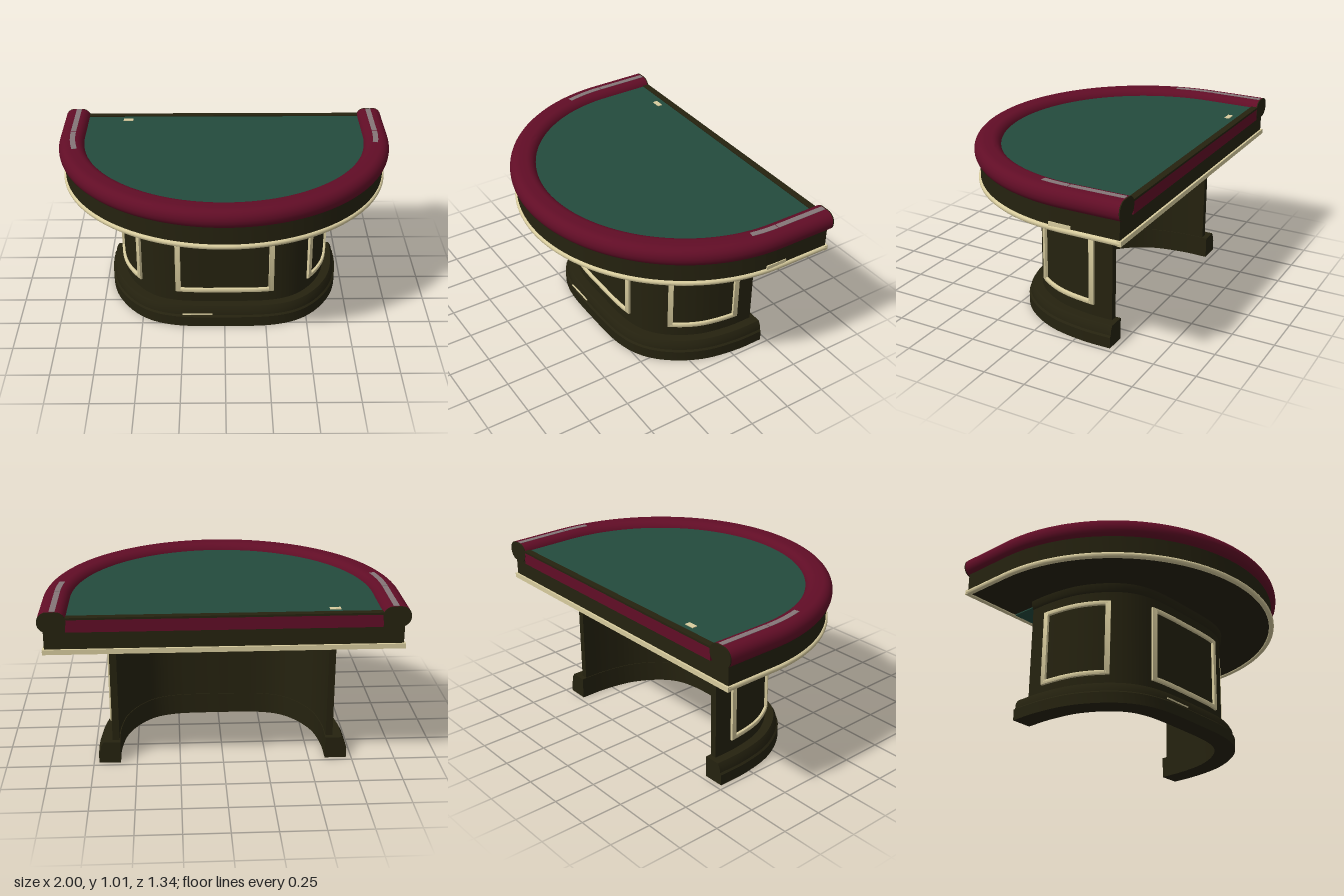
import * as THREE from 'three';
import { toCreasedNormals } from 'three/addons/utils/BufferGeometryUtils.js';

const makeMaterial = (name, color) => {
  const m = new THREE.MeshStandardMaterial({ color, side: THREE.DoubleSide });
  m.name = name;
  return m;
};

// Path point with outward normal, both in the ground plane
const station = (x, z, tx, tz) => {
  const l = Math.hypot(tx, tz);
  return { x, z, nx: tz / l, nz: -tx / l };
};

// Sweep a closed counter-clockwise profile of [outward offset, height] along a path, with end caps
function sweep(profile, path) {
  const n = profile.length, pos = [], idx = [];
  for (const s of path)
    for (const [o, y] of profile) pos.push(s.x + s.nx * o, y, s.z + s.nz * o);
  for (let i = 0; i < path.length - 1; i++)
    for (let j = 0; j < n; j++) {
      const k = (j + 1) % n;
      const a = i * n + j, b = i * n + k, c = a - j + n + k, d = a + n;
      idx.push(a, b, c, a, c, d);
    }
  const end = (path.length - 1) * n;
  const contour = profile.map(([o, y]) => new THREE.Vector2(o, y));
  for (const [a, b, c] of THREE.ShapeUtils.triangulateShape(contour, [])) {
    idx.push(c, b, a, end + a, end + b, end + c);
  }
  const g = new THREE.BufferGeometry();
  g.setAttribute('position', new THREE.Float32BufferAttribute(pos, 3));
  g.setIndex(idx);
  return toCreasedNormals(g, 0.6);
}

// Closed profile of a rectangle with rounded corners
function roundRect(o0, o1, y0, y1, r, steps = 5) {
  const out = [];
  const corners = [[o1 - r, y0 + r, -90], [o1 - r, y1 - r, 0], [o0 + r, y1 - r, 90], [o0 + r, y0 + r, 180]];
  for (const [co, cy, start] of corners)
    for (let i = 0; i <= steps; i++) {
      const a = THREE.MathUtils.degToRad(start + (90 * i) / steps);
      out.push([co + r * Math.cos(a), cy + r * Math.sin(a)]);
    }
  return out;
}

// Half-round table outline of radius 1 with straight sides running to the back
const CZ = -0.335;
function rimPath(back = -0.67, steps = 72) {
  const path = [station(1, back, 0, 1)];
  for (let i = 0; i <= steps; i++) {
    const a = (Math.PI * i) / steps;
    path.push(station(Math.cos(a), CZ + Math.sin(a), -Math.sin(a), Math.cos(a)));
  }
  path.push(station(-1, back, 0, -1));
  return path;
}

// Straight piece of the table side; side is 1 or -1
const sidePath = (side, z0, z1) => side > 0
  ? [station(1, z0, 0, 1), station(1, z1, 0, 1)]
  : [station(-1, z1, 0, -1), station(-1, z0, 0, -1)];

// Horizontal slab cut from an offset path
function slab(path, offset, y0, y1) {
  const shape = new THREE.Shape(path.map(s => new THREE.Vector2(s.x + s.nx * offset, -s.z - s.nz * offset)));
  const g = new THREE.ExtrudeGeometry(shape, { depth: y1 - y0, bevelEnabled: false });
  g.rotateX(-Math.PI / 2).translate(0, y0, 0);
  return toCreasedNormals(g, 0.6);
}

// Bow-fronted pedestal outline, open at the back
function pedestalCurve(back) {
  const half = [[0.64, back], [0.638, -0.3], [0.6, -0.1], [0.51, 0.06], [0.41, 0.15], [0.28, 0.195]];
  const pts = [...half, [0, 0.207], ...half.slice().reverse().map(([x, z]) => [-x, z])];
  return new THREE.CatmullRomCurve3(pts.map(([x, z]) => new THREE.Vector3(x, 0, z)));
}
function slice(curve, u0 = 0, u1 = 1, steps = 72) {
  const path = [];
  for (let i = 0; i <= steps; i++) {
    const u = u0 + ((u1 - u0) * i) / steps;
    const p = curve.getPointAt(u), t = curve.getTangentAt(u);
    path.push(station(p.x, p.z, t.x, t.z));
  }
  return path;
}

export function createModel() {
  const wood = makeMaterial('dark olive wood', 0x25220f);
  const leather = makeMaterial('burgundy leather', 0x610d26);
  const felt = makeMaterial('green felt', 0x234b3d);
  const cream = makeMaterial('cream trim', 0xd8cc9e);
  const shine = makeMaterial('grey worn leather', 0x857678);

  const model = new THREE.Group();
  model.name = 'cardTable';
  const add = (name, geometry, material, parent = model) => {
    const mesh = new THREE.Mesh(geometry, material);
    mesh.name = name;
    parent.add(mesh);
    return mesh;
  };
  const box = (name, material, w, h, d, x, y, z) =>
    add(name, new THREE.BoxGeometry(w, h, d), material).position.set(x, y, z);

  // Table top: apron, playing surface and padded rail
  add('apron', slab(rimPath(-0.655), -0.03, 0.775, 0.95), wood);
  add('playingSurface', slab(rimPath(-0.632), -0.14, 0.94, 0.972), felt);
  const railProfile = roundRect(-0.155, 0, 0.895, 1.01, 0.055, 7);
  add('armRail', sweep(railProfile, rimPath(-0.664)), leather);
  box('backPadding', leather, 1.7, 0.07, 0.02, 0, 0.93, -0.659);
  box('backLedge', wood, 1.7, 0.012, 0.04, 0, 0.971, -0.65);
  for (const side of [1, -1]) {
    add('railEndCap', sweep(railProfile, sidePath(side, -0.67, -0.664)), wood);
  }

  // Worn streaks on the rail and small chips of paint
  const streak = [[-0.1, 1.006], [-0.068, 1.006], [-0.068, 1.012], [-0.1, 1.012]];
  add('leftRailStreak', sweep(streak, sidePath(1, -0.66, -0.34)), shine);
  add('rightRailStreak', sweep(streak, sidePath(-1, -0.66, -0.34)), shine);
  const rim = rimPath();
  add('leftStreakTail', sweep(streak, rim.slice(1, 6)), shine);
  add('rightStreakTail', sweep(streak, rim.slice(-8, -1)), shine);
  box('feltChip', cream, 0.06, 0.006, 0.03, -0.6, 0.973, -0.58);
  box('apronChip', cream, 0.008, 0.025, 0.13, 0.971, 0.803, -0.31);
  box('plinthChip', cream, 0.18, 0.006, 0.008, -0.165, 0.083, 0.279);

  // Cream bead around the foot of the apron
  const bead = roundRect(-0.05, -0.018, 0.766, 0.796, 0.012, 3);
  add('apronBead', sweep(bead, rimPath(-0.66)), cream);
  box('backBead', cream, 1.96, 0.028, 0.024, 0, 0.781, -0.655);

  // Hollow pedestal wall with cornice and stepped plinth
  const curve = pedestalCurve(-0.44);
  const body = slice(curve);
  add('pedestalWall', sweep([[-0.04, 0.02], [0, 0.02], [0, 0.725], [0.012, 0.74], [0.016, 0.78], [-0.04, 0.78]], body), wood);
  add('plinth', sweep([[-0.045, 0], [0.08, 0], [0.08, 0.065], [0.07, 0.075], [0.067, 0.105],
    [0.052, 0.13], [-0.045, 0.13]], slice(pedestalCurve(-0.47))), wood);

  // Green lining above the hollow of the pedestal
  const lining = [station(0.64, -0.64, 0, 1), ...body, station(-0.64, -0.64, 0, -1)];
  add('ceilingLining', slab(lining, -0.035, 0.768, 0.776), felt);

  // Raised cream frames on the front and both sides
  const findU = test => {
    for (let i = 0; i <= 1000; i++) if (test(curve.getPointAt(i / 1000))) return i / 1000;
    return 1;
  };
  const frame = (name, u0, u1) => {
    const group = new THREE.Group();
    group.name = name;
    model.add(group);
    const w = 0.03 / curve.getLength();
    const bar = (y0, y1) => roundRect(-0.005, 0.016, y0, y1, 0.008, 2);
    add('bottomMoulding', sweep(bar(0.2, 0.228), slice(curve, u0, u1, 20)), cream, group);
    add('topMoulding', sweep(bar(0.637, 0.665), slice(curve, u0, u1, 20)), cream, group);
    add('sideMoulding', sweep(bar(0.2, 0.665), slice(curve, u0, u0 + w, 2)), cream, group);
    add('sideMoulding', sweep(bar(0.2, 0.665), slice(curve, u1 - w, u1, 2)), cream, group);
  };
  const uFront = findU(p => p.x < 0.295);
  const uA = findU(p => p.z > -0.33), uB = findU(p => p.z > 0.065);
  frame('frontFrame', uFront, 1 - uFront);
  frame('leftFrame', uA, uB);
  frame('rightFrame', 1 - uB, 1 - uA);

  return model;
}
